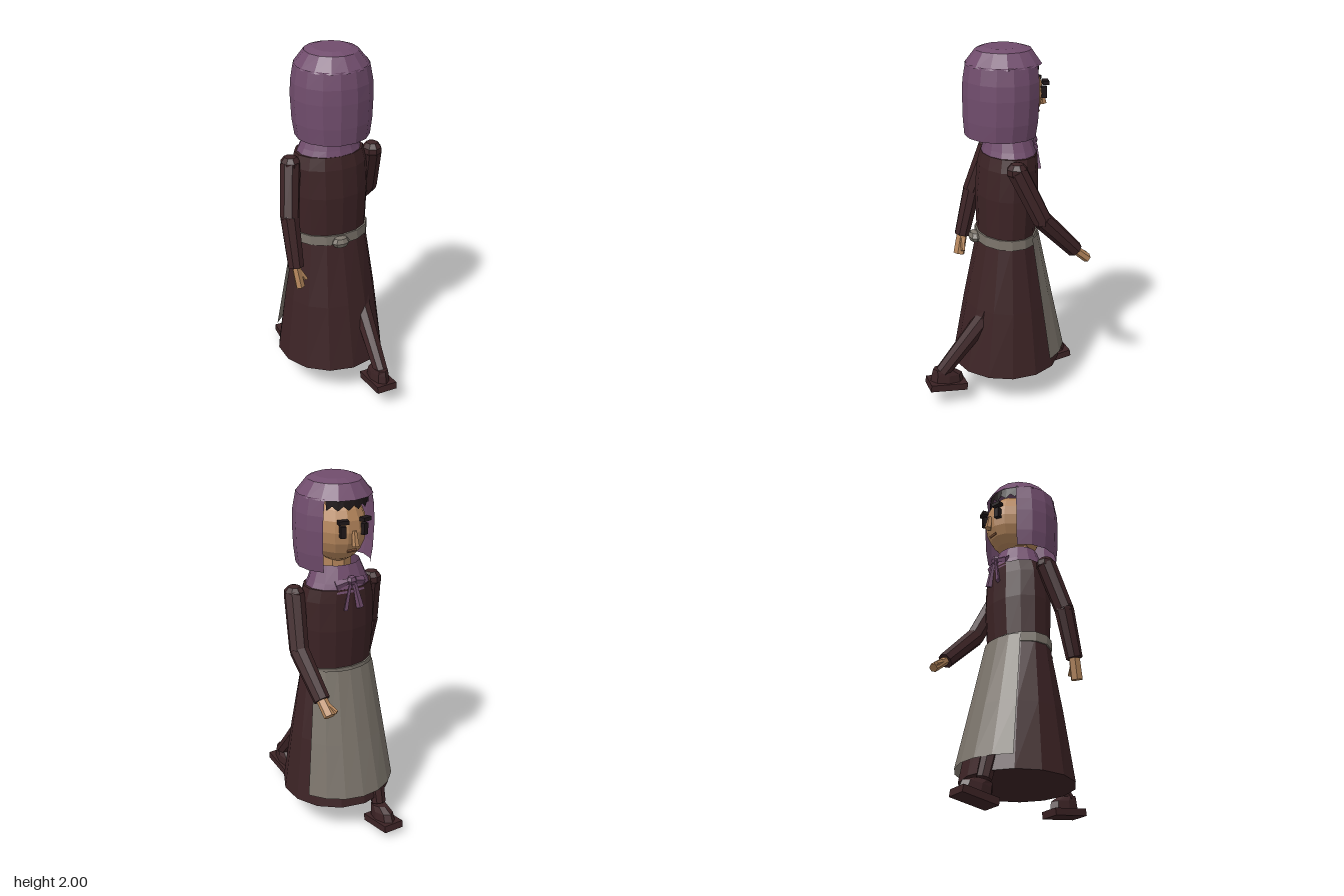
import * as THREE from 'three';

const mat = (name, color, side = THREE.FrontSide) => {
  const m = new THREE.MeshStandardMaterial({ color, flatShading: true, side });
  m.name = name;
  return m;
};
const V = (x, y, z) => new THREE.Vector3(x, y, z);

// Skin rings [y, rx, rz, cz] stacked along y; angle 0 points to -z (the face side)
function loft(rings, sides, from = 0, to = 360) {
  const pos = [], idx = [], n = sides + 1;
  for (const [y, rx, rz, cz] of rings) {
    for (let i = 0; i < n; i++) {
      const a = THREE.MathUtils.degToRad(from + (to - from) * i / sides);
      pos.push(rx * Math.sin(a), y, cz - rz * Math.cos(a));
    }
  }
  for (let r = 0; r < rings.length - 1; r++) {
    for (let i = 0; i < sides; i++) {
      const p = r * n + i;
      idx.push(p, p + n, p + 1, p + 1, p + n, p + n + 1);
    }
  }
  const g = new THREE.BufferGeometry();
  g.setAttribute('position', new THREE.Float32BufferAttribute(pos, 3));
  g.setIndex(idx);
  g.computeVertexNormals();
  return g;
}

export function createModel() {
  const root = new THREE.Group();
  root.name = 'walkingWoman';
  const brown = mat('dark brown cloth', 0x3c2325);
  const purple = mat('purple scarf', 0x714d6d, THREE.DoubleSide);
  const grey = mat('grey apron', 0x7b746b, THREE.DoubleSide);
  const skin = mat('skin', 0xb5865c);
  const black = mat('black hair', 0x1f1719, THREE.DoubleSide);
  const lip = mat('lips', 0x85583c);

  const add = (name, geo, m, parent = root) => {
    const mesh = new THREE.Mesh(geo, m);
    mesh.name = name;
    parent.add(mesh);
    return mesh;
  };
  const box = (name, size, at, m, parent) => {
    const b = add(name, new THREE.BoxGeometry(...size), m, parent);
    b.position.set(...at);
    return b;
  };
  const ball = (name, size, at, m, w = 8, h = 6) => {
    const b = add(name, new THREE.SphereGeometry(1, w, h), m);
    b.scale.set(...size);
    b.position.set(...at);
    return b;
  };
  // Tapered prism between two points
  const limb = (name, a, b, ra, rb, m, sides = 8, flat = 1) => {
    const d = b.clone().sub(a);
    const l = add(name, new THREE.CylinderGeometry(rb, ra, d.length(), sides), m);
    l.position.copy(a).add(b).multiplyScalar(0.5);
    l.quaternion.setFromUnitVectors(V(0, 1, 0), d.normalize());
    l.scale.z = flat;
    return l;
  };

  // Dress
  add('skirt', loft([[0.18, 0, 0, -0.03], [0.18, 0.31, 0.31, -0.03], [0.56, 0.264, 0.24, -0.03],
    [0.95, 0.205, 0.155, -0.025]], 14), brown);
  add('bodice', loft([[0.95, 0.205, 0.155, -0.025], [1.2, 0.217, 0.168, -0.03], [1.36, 0.213, 0.158, -0.035],
    [1.43, 0.195, 0.148, -0.042], [1.43, 0, 0, -0.04]], 14), brown);
  add('belt', loft([[0.925, 0.205, 0.15, -0.025], [0.925, 0.217, 0.168, -0.025], [0.98, 0.215, 0.166, -0.025],
    [0.98, 0.2, 0.15, -0.025]], 14), grey);
  add('apron', loft([[0.25, 0.32, 0.337, -0.03], [0.56, 0.276, 0.265, -0.03], [0.97, 0.216, 0.178, -0.025]],
    6, -52, 61), grey);
  ball('beltKnot', [0.052, 0.035, 0.035], [-0.02, 0.945, 0.15], grey, 8, 4);

  // Neck scarf with a knot and two tails
  add('neckScarf', loft([[1.41, 0.19, 0.152, -0.042], [1.46, 0.165, 0.138, -0.042], [1.55, 0.128, 0.11, -0.035]], 14), purple);
  ball('scarfKnot', [0.03, 0.028, 0.025], [0, 1.475, -0.185], purple, 6, 4);
  for (const s of [-1, 1]) {
    limb('scarfTail', V(s * 0.008, 1.475, -0.19), V(s * 0.045, 1.32, -0.2), 0.012, 0.02, purple, 4, 0.6);
    limb('scarfFold', V(s * 0.01, 1.475, -0.185), V(s * 0.085, 1.455, -0.165), 0.014, 0.026, purple, 4, 0.6);
  }

  // Head and face
  ball('head', [0.15, 0.19, 0.175], [0.01, 1.745, -0.05], skin, 14, 10);
  limb('neck', V(0, 1.42, -0.03), V(0, 1.62, -0.03), 0.08, 0.08, skin);
  const nose = add('nose', new THREE.CylinderGeometry(0.012, 0.021, 0.08, 5), skin);
  nose.position.set(0.01, 1.715, -0.228);
  nose.rotation.x = 0.15;
  box('mouth', [0.055, 0.012, 0.009], [0.01, 1.643, -0.2], lip).rotation.x = -0.5;
  for (const s of [-1, 1]) {
    const x = 0.01 + s * 0.067;
    box('eyebrow', [0.056, 0.02, 0.034], [x, 1.808, -0.219], black).rotation.y = -s * 0.25;
    box('eye', [0.03, 0.06, 0.03], [x - s * 0.003, 1.755, -0.212], black).rotation.y = -s * 0.25;
  }

  // Hair fringe with a jagged lower edge
  const hair = loft([[1.88, 0.17, 0.185, -0.015], [1.925, 0.175, 0.185, -0.01]], 10, -48, 48);
  for (let i = 0; i <= 10; i += 2) hair.attributes.position.setY(i, 1.855);
  add('fringe', hair, black);

  // Hood: open-fronted sides and a closed crown
  add('hoodSides', loft([[1.53, 0.202, 0.198, 0], [1.62, 0.215, 0.208, -0.003], [1.75, 0.221, 0.212, -0.005],
    [1.83, 0.217, 0.21, -0.006], [1.92, 0.2, 0.197, -0.008]], 11, 45, 315), purple);
  add('hoodCrown', loft([[1.91, 0.202, 0.205, -0.01], [1.985, 0.142, 0.15, -0.012], [2, 0.1, 0.105, -0.005],
    [2, 0, 0, -0.005]], 14), purple);

  // Arms: +x swings forward, -x swings back
  const arms = [
    { side: 'left', p: [V(0.242, 1.39, 0), V(0.288, 1.12, -0.125), V(0.272, 0.91, -0.33)],
      palm: V(0.27, 0.848, -0.405), thumb: V(0.232, 0.862, -0.41) },
    { side: 'right', p: [V(-0.242, 1.39, -0.01), V(-0.288, 1.12, 0.075), V(-0.285, 0.85, 0.14)],
      palm: V(-0.272, 0.735, 0.165), thumb: V(-0.232, 0.765, 0.15) },
  ];
  for (const { side, p: [sh, el, wr], palm, thumb } of arms) {
    ball(side + 'Shoulder', [0.056, 0.05, 0.06], sh.toArray(), brown, 8, 5);
    limb(side + 'UpperArm', sh, el, 0.056, 0.053, brown);
    ball(side + 'Elbow', [0.053, 0.053, 0.053], el.toArray(), brown, 8, 5);
    limb(side + 'Forearm', el, wr, 0.053, 0.045, brown);
    limb(side + 'Hand', wr, palm, 0.032, 0.034, skin, 6, 0.75);
    limb(side + 'Thumb', wr, thumb, 0.016, 0.013, skin, 5);
  }

  // Legs and shoes: +x trails behind, -x steps forward
  const legs = [
    { side: 'left', p: [V(0.11, 0.85, 0.02), V(0.115, 0.5, 0.14), V(0.115, 0.2, 0.395)], shoe: [0.113, 0.1, 0.375], tilt: -0.13 },
    { side: 'right', p: [V(-0.11, 0.85, -0.06), V(-0.112, 0.48, -0.23), V(-0.112, 0.14, -0.315)], shoe: [-0.112, 0.02, -0.37], tilt: 0.16 },
  ];
  for (const { side, p: [hip, knee, ankle], shoe, tilt } of legs) {
    limb(side + 'Thigh', hip, knee, 0.06, 0.054, brown);
    ball(side + 'Knee', [0.052, 0.052, 0.052], knee.toArray(), brown, 8, 5);
    limb(side + 'Shin', knee, ankle, 0.054, 0.042, brown);
    const g = new THREE.Group();
    g.name = side + 'Shoe';
    g.position.set(...shoe);
    g.rotation.x = tilt;
    root.add(g);
    box('sole', [0.12, 0.04, 0.215], [0, 0.02, 0], brown, g);
    add('shoeUpper', loft([[0.035, 0.05, 0.098, 0], [0.085, 0.046, 0.09, 0.005], [0.115, 0.038, 0.06, 0.03],
      [0.115, 0, 0, 0.03]], 8), brown, g);
  }
  return root;
}
